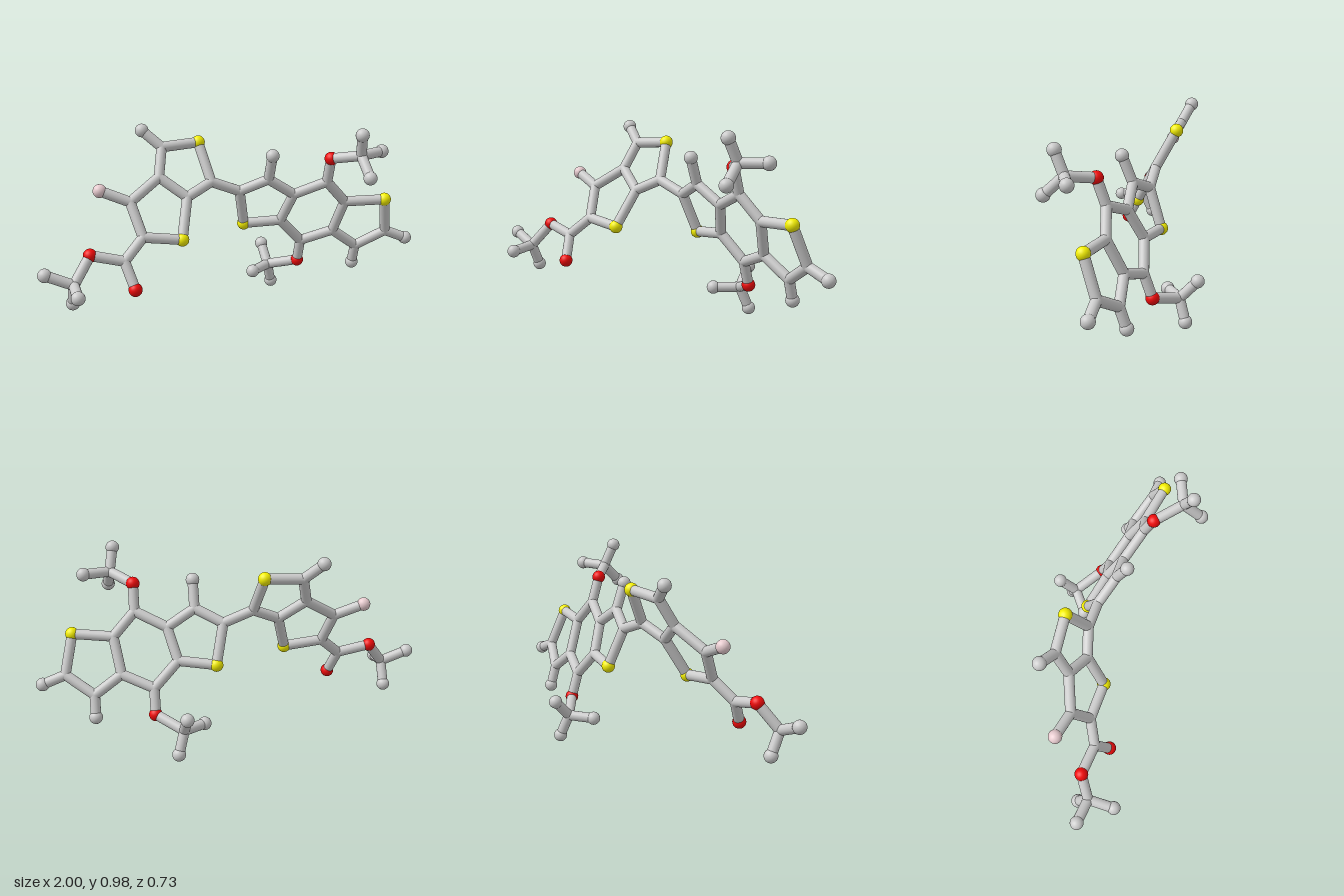
import * as THREE from 'three';

const BALL = 0.034, STICK = 0.026;

// Planes that the two flat ring systems lie in
const leftPlane = (x, y) => [x, y, 0.306 - 0.529 * y];
const rightPlane = (x, y) => [x, y, -0.32 + 0.247 * x + 0.397 * y];

// Joints are plain stick junctions
const joints = {
  // left double ring and its ester arm
  a1: leftPlane(-0.32, 0.865), a2: leftPlane(-0.355, 0.73), a3: leftPlane(-0.225, 0.63),
  a4: leftPlane(-0.09, 0.69), a5: leftPlane(-0.515, 0.63), a6: leftPlane(-0.475, 0.47),
  ester: leftPlane(-0.58, 0.375), leftMethyl: [-0.835, 0.295, 0.145],
  // right triple ring
  b1: rightPlane(0.06, 0.63), b2: rightPlane(0.195, 0.695), b3: rightPlane(0.334, 0.605),
  b4: rightPlane(0.29, 0.45), b5: rightPlane(0.489, 0.675), b6: rightPlane(0.6, 0.555),
  b7: rightPlane(0.57, 0.38), b8: rightPlane(0.414, 0.32), b9: rightPlane(0.708, 0.28),
  b10: rightPlane(0.847, 0.37),
  upperMethyl: [0.596, 0.84, 0.234], lowerMethyl: [0.286, 0.148, -0.245],
};

// Larger balls, grouped by kind
const balls = {
  sulfur: {
    s1: leftPlane(-0.128, 0.876), s2: leftPlane(-0.28, 0.443),
    s3: rightPlane(0.105, 0.435), s4: rightPlane(0.802, 0.563),
  },
  oxygen: {
    o1: leftPlane(-0.545, 0.248), o2: leftPlane(-0.743, 0.415),
    o3: [0.489, 0.806, 0.113], o4: [0.414, 0.196, -0.133],
  },
  fluorine: { f1: leftPlane(-0.658, 0.69) },
  hydrogen: {
    h1: [-0.41, 0.947, -0.194], h2: [0.196, 0.828, 0.056],
    h3: [0.708, 0.174, -0.068], h4: [0.962, 0.322, 0.047],
    l1: [-0.968, 0.352, 0.126], l2: [-0.838, 0.278, 0.278], l3: [-0.836, 0.183, 0.09],
    u1: [0.575, 0.953, 0.282], u2: [0.73, 0.843, 0.187], u3: [0.602, 0.748, 0.332],
    d1: [0.174, 0.144, -0.168], d2: [0.318, 0.037, -0.279], d3: [0.28, 0.241, -0.331],
  },
};

// Each chain is a run of connected sticks
const chains = [
  'a1 a2 a3 a4 s1 a1 h1', 'a2 a5 a6 s2 a3', 'a5 f1', 'a6 ester o1', 'ester o2 leftMethyl',
  'a4 b1 b2 b3 b4 s3 b1', 'b2 h2', 'b3 b5 b6 b7 b8 b4', 'b6 s4 b10 b9 b7',
  'b9 h3', 'b10 h4', 'b5 o3 upperMethyl', 'b8 o4 lowerMethyl',
  'l1 leftMethyl l2', 'leftMethyl l3', 'u1 upperMethyl u2', 'upperMethyl u3',
  'd1 lowerMethyl d2', 'lowerMethyl d3',
];

const colors = { sulfur: 0xf5f000, oxygen: 0xf00a0a, fluorine: 0xe8ccd0, hydrogen: 0xcccccc };

export function createModel() {
  const model = new THREE.Group();
  const grey = new THREE.MeshStandardMaterial({ color: 0xcccccc });
  const positions = {};
  const ballGeometry = new THREE.SphereGeometry(BALL, 24, 16);
  const jointGeometry = new THREE.SphereGeometry(STICK, 24, 16);
  const stickGeometry = new THREE.CylinderGeometry(STICK, STICK, 1, 24, 1, true);

  const addSphere = (parent, name, key, p, geometry, material) => {
    positions[key] = new THREE.Vector3(...p);
    const mesh = new THREE.Mesh(geometry, material);
    mesh.name = name;
    mesh.position.copy(positions[key]);
    parent.add(mesh);
  };

  // Coloured and end balls
  for (const [kind, set] of Object.entries(balls)) {
    const group = new THREE.Group();
    group.name = kind + 'Balls';
    const material = new THREE.MeshStandardMaterial({ color: colors[kind] });
    for (const [key, p] of Object.entries(set)) addSphere(group, kind + 'Ball', key, p, ballGeometry, material);
    model.add(group);
  }

  // Rounded joints where sticks meet
  const jointGroup = new THREE.Group();
  jointGroup.name = 'carbonJoints';
  for (const [key, p] of Object.entries(joints)) addSphere(jointGroup, 'carbonJoint', key, p, jointGeometry, grey);
  model.add(jointGroup);

  // Sticks between neighbours
  const bonds = new THREE.Group();
  bonds.name = 'bondSticks';
  const up = new THREE.Vector3(0, 1, 0);
  for (const chain of chains) {
    const keys = chain.split(' ');
    for (let i = 1; i < keys.length; i++) {
      const a = positions[keys[i - 1]], b = positions[keys[i]];
      const along = b.clone().sub(a);
      const stick = new THREE.Mesh(stickGeometry, grey);
      stick.name = 'bondStick';
      stick.position.copy(a).add(b).multiplyScalar(0.5);
      stick.scale.y = along.length();
      stick.quaternion.setFromUnitVectors(up, along.normalize());
      bonds.add(stick);
    }
  }
  model.add(bonds);
  return model;
}
